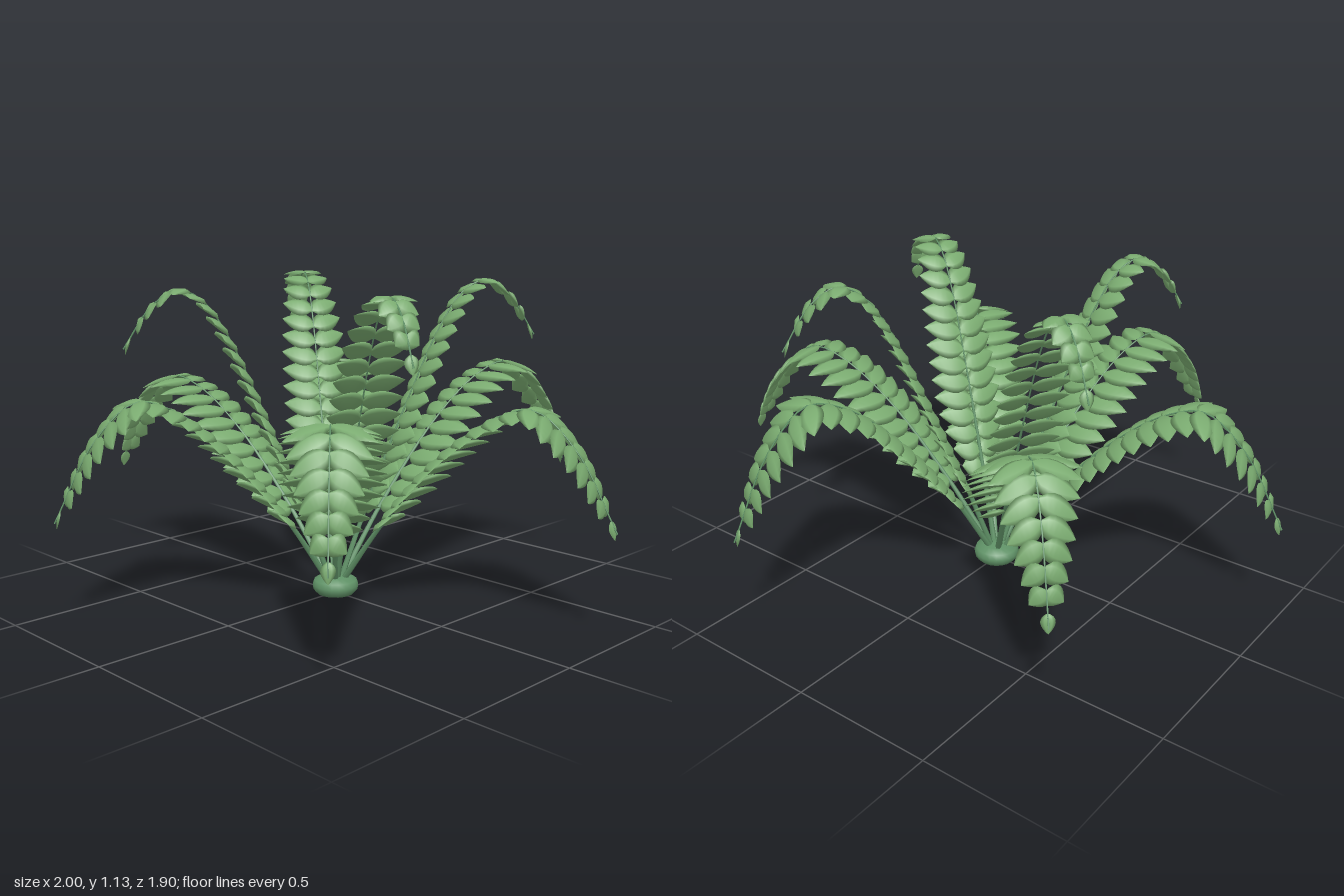
import * as THREE from 'three';

const leafGreen = new THREE.MeshStandardMaterial({ color: 0x7aab70 });
leafGreen.name = 'leaf green';
const stemGreen = new THREE.MeshStandardMaterial({ color: 0x5f9166 });
stemGreen.name = 'stem green';

// Arching profiles as (distance from centre, height)
const OUTER = [[0.03, 0.05], [0.2, 0.3], [0.42, 0.56], [0.6, 0.7], [0.73, 0.735], [0.87, 0.62], [1.01, 0.37]];
const INNER = [[0.02, 0.05], [0.12, 0.33], [0.25, 0.66], [0.38, 0.95], [0.46, 1.065], [0.54, 1.105], [0.63, 1.055], [0.73, 0.91]];

// Leaflet length along the blade, from its foot to its tip
const WIDTHS = [0.55, 0.85, 1, 1, 0.98, 0.93, 0.84, 0.73, 0.6, 0.44, 0.24];
function widthAt(t) {
  const i = Math.min(Math.floor(t * 10), 9);
  return THREE.MathUtils.lerp(WIDTHS[i], WIDTHS[i + 1], t * 10 - i);
}

// Tapered tube along the midrib
function midribGeometry(curve) {
  const rings = 40, sides = 6;
  const geo = new THREE.TubeGeometry(curve, rings, 0.011, sides, false);
  const pos = geo.attributes.position, v = new THREE.Vector3();
  for (let i = 0; i <= rings; i++) {
    const centre = curve.getPointAt(i / rings);
    for (let j = 0; j <= sides; j++) {
      const k = i * (sides + 1) + j;
      v.fromBufferAttribute(pos, k).lerp(centre, Math.min(0.75, 1.6 * i / rings));
      pos.setXYZ(k, v.x, v.y, v.z);
    }
  }
  geo.computeVertexNormals();
  return geo;
}

// Adds one thin, pointed, lens-shaped leaflet to the arrays
function addLeaflet(positions, index, base, along, across, normal, length, half, flip) {
  const rows = 7, sides = 6, start = positions.length / 3;
  for (let i = 0; i <= rows; i++) {
    const v = i / rows;
    const w = half * (0.25 * (1 - v) + 0.92 * Math.pow(Math.sin(Math.PI * Math.pow(v, 0.8)), 0.9)) + 0.0003;
    for (let j = 0; j < sides; j++) {
      const angle = j / sides * Math.PI * 2, u = Math.cos(angle);
      const lift = w * (0.22 * Math.sin(angle) - 0.15 * u * u - 0.2 * u) - length * (0.06 * v + 0.18 * v * v);
      const p = base.clone()
        .addScaledVector(along, length * v)
        .addScaledVector(across, w * u)
        .addScaledVector(normal, lift);
      positions.push(p.x, p.y, p.z);
      if (i < rows) {
        const a = start + i * sides + j, b = start + i * sides + (j + 1) % sides, c = a + sides, d = b + sides;
        if (flip) index.push(a, c, b, b, c, d);
        else index.push(a, b, c, b, d, c);
      }
    }
  }
}

// Two rows of leaflets and a pointed end leaflet
function bladeGeometry(curve, side, pairs, maxLength) {
  const positions = [], index = [], t0 = 0.2;
  for (let i = 0; i <= pairs; i++) {
    const t = i / pairs, at = t0 + (0.97 - t0) * t;
    const base = curve.getPointAt(at), tangent = curve.getTangentAt(at);
    const normal = side.clone().cross(tangent);
    if (i === pairs) {
      addLeaflet(positions, index, base, tangent, side, normal, 0.06, 0.02, true);
      break;
    }
    const lean = 0.2 + 0.5 * t * t;
    for (const s of [-1, 1]) {
      const along = side.clone().multiplyScalar(s * Math.cos(lean)).addScaledVector(tangent, Math.sin(lean));
      const across = tangent.clone().multiplyScalar(Math.cos(lean)).addScaledVector(side, -s * Math.sin(lean));
      addLeaflet(positions, index, base, along, across, normal,
        maxLength * widthAt(t), 0.041 * (1 - 0.25 * t * t), s < 0);
    }
  }
  const geo = new THREE.BufferGeometry();
  geo.setAttribute('position', new THREE.Float32BufferAttribute(positions, 3));
  geo.setIndex(index);
  geo.computeVertexNormals();
  return geo;
}

function makeFrond(name, profile, degrees, reach, lift, pairs, maxLength) {
  const a = THREE.MathUtils.degToRad(degrees);
  const side = new THREE.Vector3(-Math.sin(a), 0, Math.cos(a));
  const curve = new THREE.CatmullRomCurve3(profile.map(([r, y]) =>
    new THREE.Vector3(Math.cos(a) * r * reach, y * lift, Math.sin(a) * r * reach)));
  const frond = new THREE.Group();
  frond.name = name;
  const midrib = new THREE.Mesh(midribGeometry(curve), stemGreen);
  midrib.name = 'midrib';
  const leaflets = new THREE.Mesh(bladeGeometry(curve, side, pairs, maxLength), leafGreen);
  leaflets.name = 'leaflets';
  frond.add(midrib, leaflets);
  return frond;
}

export function createModel() {
  const fern = new THREE.Group();
  fern.name = 'fern';

  // Squat crown at the root
  const crownProfile = [[0, 0], [0.066, 0], [0.08, 0.015], [0.083, 0.032], [0.076, 0.05], [0.05, 0.064], [0, 0.07]]
    .map(([x, y]) => new THREE.Vector2(x, y));
  const crown = new THREE.Mesh(new THREE.LatheGeometry(crownProfile, 20), stemGreen);
  crown.name = 'crown';
  fern.add(crown);

  // Low outer fronds: heading, reach, lift
  for (const [deg, reach, lift] of [
    [-72, 0.99, 1.09], [-13.6, 1.015, 0.99], [45.8, 0.98, 1], [108.4, 0.985, 1.01], [167.5, 1.015, 1], [224.2, 1, 1.03],
  ]) fern.add(makeFrond('outerFrond', OUTER, deg, reach, lift, 18, 0.18));

  // Tall inner fronds
  for (const [deg, reach, lift] of [
    [-57.4, 1, 1.01], [26.6, 0.995, 0.99], [120, 0.995, 0.99], [211.5, 1.005, 1.02],
  ]) fern.add(makeFrond('innerFrond', INNER, deg, reach, lift, 18, 0.135));

  return fern;
}
